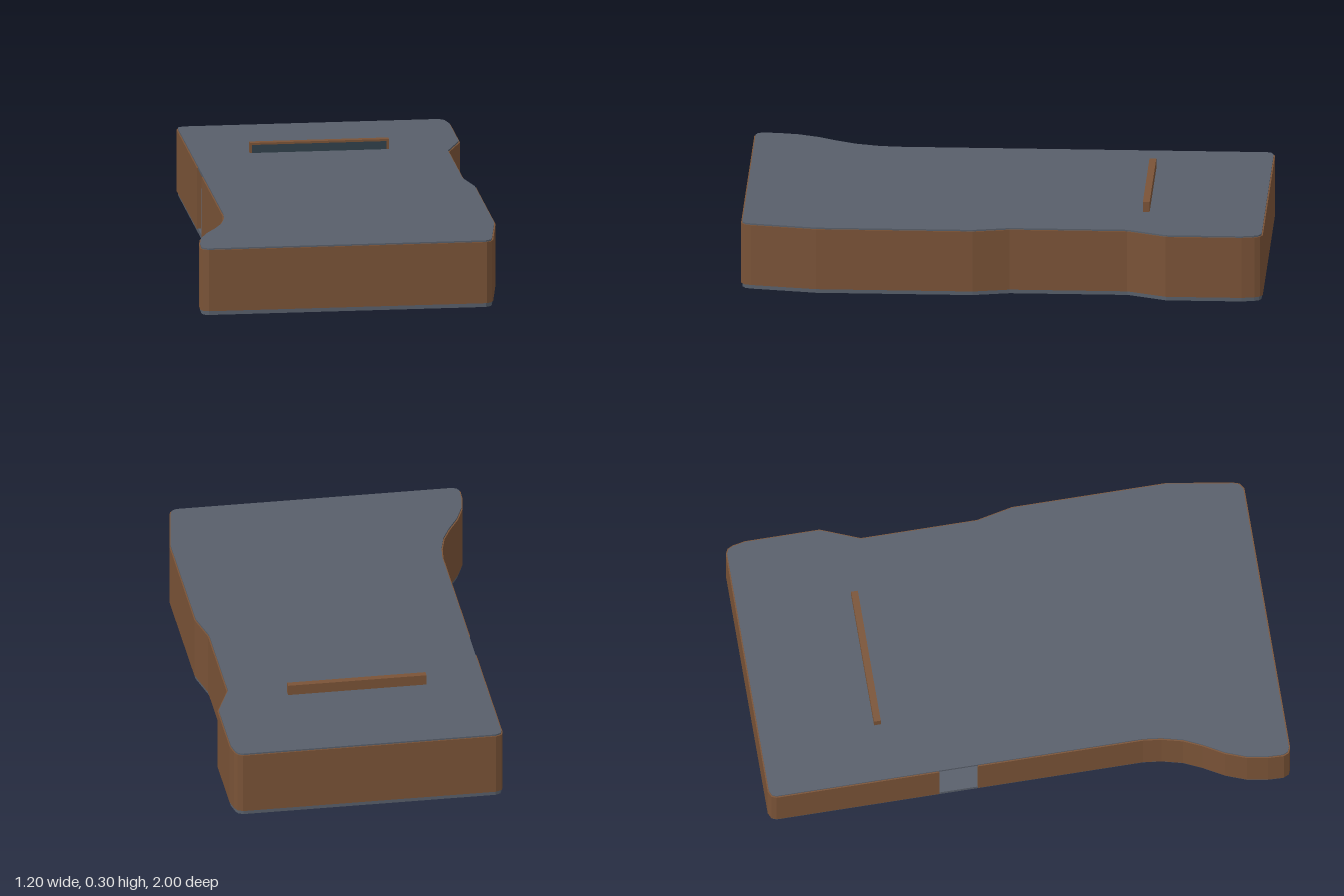
import * as THREE from 'three';

const brown = new THREE.MeshStandardMaterial({ name: 'brown wall', color: 0x7a5337 });
const grey = new THREE.MeshStandardMaterial({ name: 'slate grey', color: 0x585f6a });
const dark = new THREE.MeshStandardMaterial({ name: 'dark slate', color: 0x30404a });

// Plan outline as [x, z], starting and ending at the doorway on the -x side
const outline = [
  [-0.45, -0.34], [-0.45, -0.97], [-0.443, -0.989], [-0.42, -1],
  [0.56, -1], [0.58, -0.99], [0.59, -0.97], [0.6, -0.92], [0.6, -0.63],
  [0.54, -0.48], [0.54, -0.03], [0.57, 0.11], [0.57, 0.71],
  [0.53, 0.96], [0.522, 0.985], [0.5, 1],
  [-0.57, 1], [-0.591, 0.991], [-0.6, 0.97], [-0.598, 0.91], [-0.585, 0.83],
  [-0.555, 0.75], [-0.51, 0.67], [-0.478, 0.6], [-0.458, 0.52], [-0.45, 0.45],
  [-0.45, -0.19],
];

// Moves every point inward by d along the mitre of its two edges
function inset(points, d) {
  const n = points.length;
  const normal = (a, b) => new THREE.Vector2(a[1] - b[1], b[0] - a[0]).normalize();
  return points.map((p, i) => {
    const n1 = normal(points[(i + n - 1) % n], p);
    const n2 = normal(p, points[(i + 1) % n]);
    const k = d / (1 + n1.dot(n2));
    return [p[0] + (n1.x + n2.x) * k, p[1] + (n1.y + n2.y) * k];
  });
}

// Upright prism over a plan outline, between heights y0 and y1
function prism(name, points, y0, y1, material) {
  const shape = new THREE.Shape(points.map(([x, z]) => new THREE.Vector2(x, z)));
  const geometry = new THREE.ExtrudeGeometry(shape, { depth: y1 - y0, bevelEnabled: false });
  geometry.rotateX(Math.PI / 2).translate(0, y1, 0);
  const mesh = new THREE.Mesh(geometry, material);
  mesh.name = name;
  return mesh;
}

function box(name, size, position, material) {
  const mesh = new THREE.Mesh(new THREE.BoxGeometry(...size), material);
  mesh.name = name;
  mesh.position.set(...position);
  return mesh;
}

export function createModel() {
  const model = new THREE.Group();
  model.name = 'building';

  // Floor and roof slabs sit slightly inside the wall face
  const slab = inset(outline, 0.005);
  model.add(prism('floorSlab', slab, 0, 0.018, grey));
  model.add(prism('roofSlab', slab, 0.25, 0.262, grey));

  // Thin outer wall, open at the doorway
  const ring = [...outline, ...inset(outline, 0.016).reverse()];
  model.add(prism('outerWall', ring, 0.016, 0.256, brown));

  // Low inner floor strip behind the doorway
  model.add(box('innerFloor', [0.2, 0.004, 0.6], [-0.1, 0.02, 0.1], brown));

  // Raised roof sign board: brown backing and rim, dark face
  const board = new THREE.Group();
  board.name = 'roofBoard';
  board.add(box('boardBacking', [0.536, 0.042, 0.016], [0.046, 0.281, -0.547], brown));
  board.add(box('boardFace', [0.518, 0.032, 0.008], [0.046, 0.278, -0.535], dark));
  board.add(box('boardRimTop', [0.536, 0.008, 0.01], [0.046, 0.298, -0.534], brown));
  for (const s of [-1, 1]) {
    board.add(box('boardRimSide', [0.009, 0.034, 0.01], [0.046 + s * 0.2635, 0.277, -0.534], brown));
  }
  model.add(board);
  return model;
}
